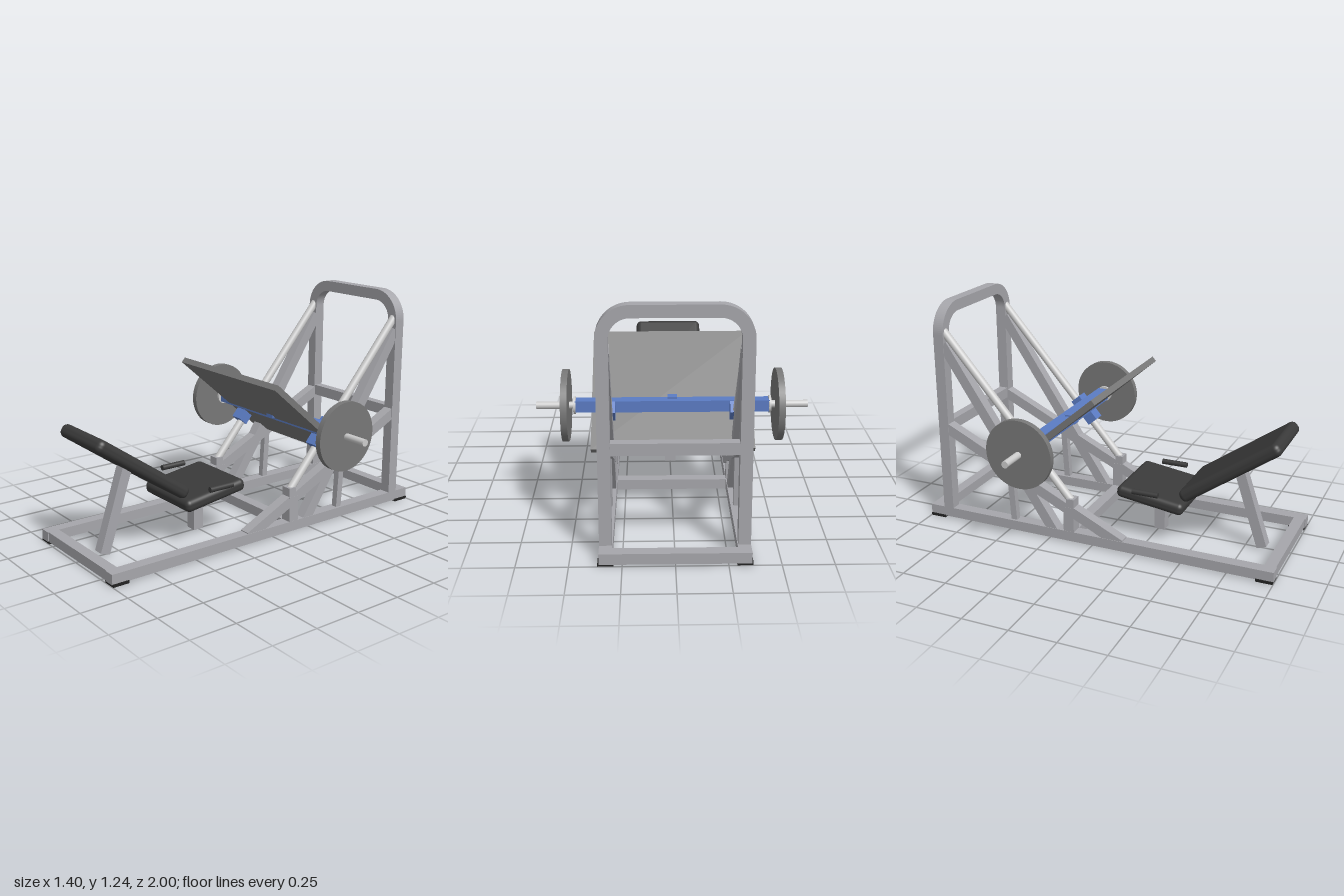
import * as THREE from 'three';
import { RoundedBoxGeometry } from 'three/addons/geometries/RoundedBoxGeometry.js';

const mat = (color) => new THREE.MeshStandardMaterial({ color });

export function createModel() {
  const model = new THREE.Group();
  const frame = mat(0xa6a6ab), steel = mat(0xcccccc), blue = mat(0x5b7cc4);
  const dark = mat(0x3a3a3a), plateGrey = mat(0x777777), rubber = mat(0x222222);

  function add(name, geometry, material, x = 0, y = 0, z = 0) {
    const mesh = new THREE.Mesh(geometry, material);
    mesh.name = name;
    mesh.position.set(x, y, z);
    model.add(mesh);
    return mesh;
  }
  const box = (name, m, w, h, d, x, y, z) => add(name, new THREE.BoxGeometry(w, h, d), m, x, y, z);

  // Square tube running between two points given as [y, z] at one x
  function strut(name, x, [y1, z1], [y2, z2], w, h = w, m = frame) {
    const length = Math.hypot(y2 - y1, z2 - z1);
    const mesh = box(name, m, w, h, length, x, (y1 + y2) / 2, (z1 + z2) / 2);
    mesh.lookAt(x, y2, z2);
    return mesh;
  }

  // Cylinder lying along x
  function axle(name, m, r, length, x, y, z, sides = 32) {
    const g = new THREE.CylinderGeometry(r, r, length, sides).rotateZ(Math.PI / 2);
    return add(name, g, m, x, y, z);
  }

  // Base cross members
  box('frontCrossBar', frame, 0.6, 0.055, 0.06, 0, 0.0375, 0.965);
  box('rearCrossBar', frame, 0.6, 0.055, 0.06, 0, 0.0375, -0.97);
  box('middleCrossBar', frame, 0.6, 0.055, 0.06, 0, 0.0375, -0.13);

  // Upright hoop with rounded top corners
  const hoop = new THREE.Shape();
  hoop.moveTo(-0.36, 0.06);
  hoop.lineTo(-0.36, 1.075);
  hoop.absarc(-0.2, 1.075, 0.16, Math.PI, Math.PI / 2, true);
  hoop.lineTo(0.2, 1.235);
  hoop.absarc(0.2, 1.075, 0.16, Math.PI / 2, 0, true);
  hoop.lineTo(0.36, 0.06);
  hoop.lineTo(0.3, 0.06);
  hoop.lineTo(0.3, 1.075);
  hoop.absarc(0.2, 1.075, 0.1, 0, Math.PI / 2, false);
  hoop.lineTo(-0.2, 1.175);
  hoop.absarc(-0.2, 1.075, 0.1, Math.PI / 2, Math.PI, false);
  hoop.lineTo(-0.3, 0.06);
  hoop.closePath();
  add('uprightHoop', new THREE.ExtrudeGeometry(hoop, { depth: 0.06, bevelEnabled: false, curveSegments: 12 }),
    frame, 0, 0, -0.915);
  box('hoopCrossBar', frame, 0.6, 0.06, 0.05, 0, 0.55, -0.885);

  // Direction of the guide rods
  const rodLow = [0.24, -0.13], rodHigh = [1.09, -0.87];
  const rodLength = Math.hypot(rodHigh[0] - rodLow[0], rodHigh[1] - rodLow[1]);
  const rodTilt = Math.atan2(rodHigh[1] - rodLow[1], rodHigh[0] - rodLow[0]);

  for (const side of [-1, 1]) {
    const x = side * 0.328;

    // Base rail and feet
    box('baseRail', frame, 0.064, 0.055, 2, x, 0.0375, 0);
    for (const end of [-1, 1]) box('footPad', rubber, 0.076, 0.014, 0.09, side * 0.328, 0.007, end * 0.953);

    // Sloping frame members
    strut('lowerBrace', x, [0.045, 0.17], [0.545, -0.87], 0.058);
    strut('inclineBeam', x, [0.045, -0.222], [1.02, -0.865], 0.058);
    strut('smallStrut', x, [0.05, -0.47], [0.36, -0.49], 0.035);

    // Guide rod on its short post
    box('rodPost', frame, 0.062, 0.15, 0.06, x, 0.13, -0.13);
    box('rodCollar', frame, 0.06, 0.055, 0.045, x, 0.226, -0.122);
    const rod = add('guideRod', new THREE.CylinderGeometry(0.022, 0.022, rodLength, 24), steel,
      x, (rodLow[0] + rodHigh[0]) / 2, (rodLow[1] + rodHigh[1]) / 2);
    rod.rotation.x = rodTilt;

    // Sliding carriage block
    const slider = box('carriageSlider', blue, 0.07, 0.17, 0.066, x, 0.51, -0.345);
    slider.rotation.x = rodTilt;

    // Weight horn, collar and disc
    axle('weightHorn', steel, 0.019, 0.21, side * 0.595, 0.555, -0.308, 24);
    axle('hornCollar', steel, 0.045, 0.012, side * 0.503, 0.555, -0.308);
    axle('weightDisc', plateGrey, 0.187, 0.033, side * 0.547, 0.555, -0.308, 48);

    // Seat handle
    add('seatHandle', new THREE.CylinderGeometry(0.015, 0.015, 0.145, 20).rotateX(Math.PI / 2), dark,
      side * 0.224, 0.303, 0.255);
  }

  // Sled: cross beam, centre bracket and foot plate
  box('sledBeam', blue, 1, 0.06, 0.064, 0, 0.556, -0.312);
  box('sledBracket', blue, 0.05, 0.05, 0.06, 0, 0.57, -0.28);
  const footPlate = box('footPlate', plateGrey, 0.83, 0.032, 0.71, 0, 0.607, -0.222);
  footPlate.rotation.x = -0.716;

  // Seat and backrest with their posts
  box('seatPost', frame, 0.06, 0.22, 0.06, 0, 0.12, 0.265);
  const seat = add('seatPad', new RoundedBoxGeometry(0.414, 0.068, 0.38, 5, 0.028), dark, 0, 0.25, 0.267);
  seat.rotation.x = 0.14;
  strut('backrestPost', 0, [0.015, 0.845], [0.45, 0.7], 0.06, 0.055);
  const back = add('backrestPad', new RoundedBoxGeometry(0.395, 0.07, 0.63, 5, 0.03), dark, 0, 0.472, 0.693);
  back.rotation.x = -0.614;

  return model;
}
